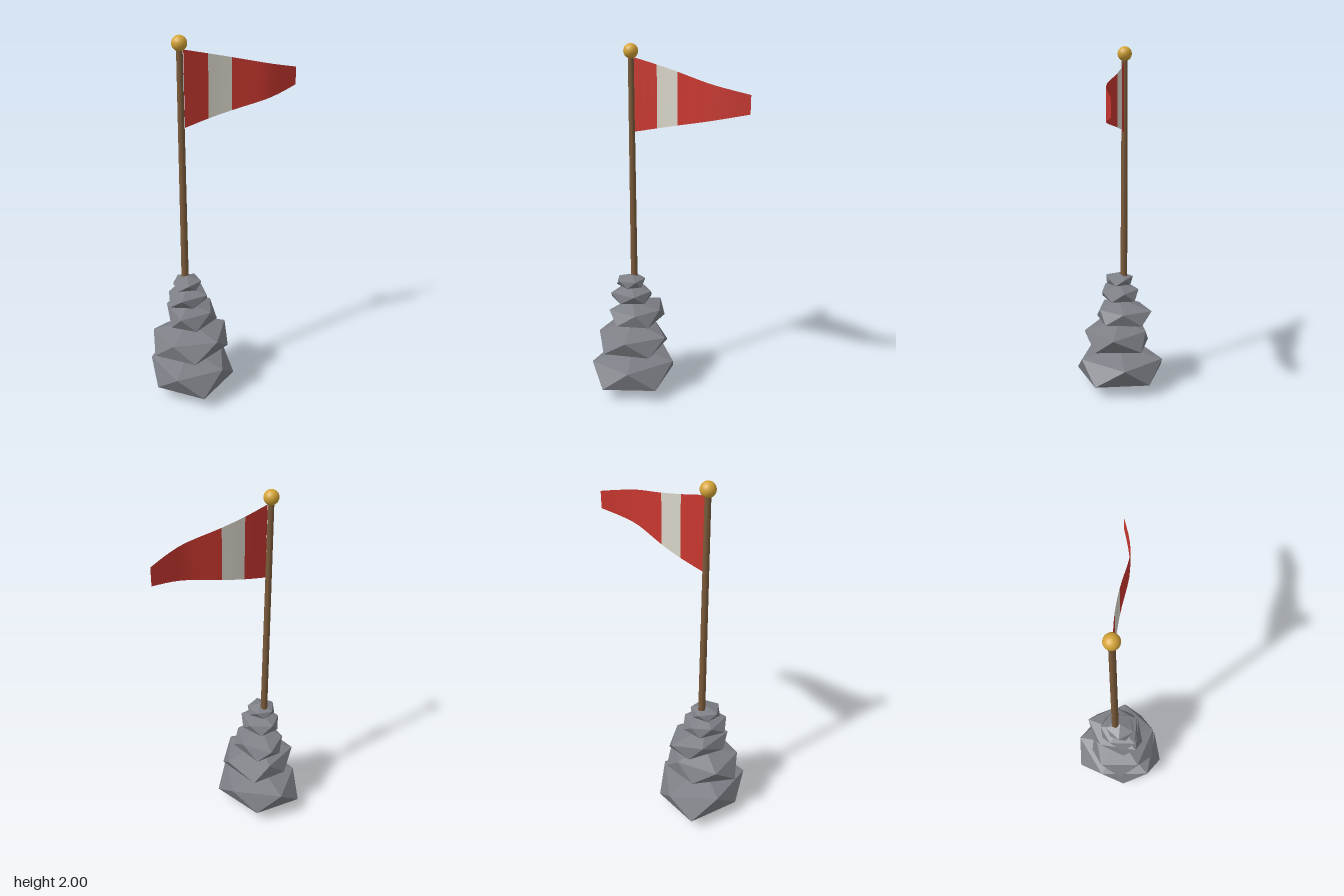
import * as THREE from 'three';

const POLE_X = -0.24, POLE_Z = -0.028;

// Faceted stone: a pole, an upper and a lower ring of five [x, z] corners, a pole
function stone([bottom, lowY, highY, top], upper, lower) {
  const U = upper.map(([x, z]) => [x, highY, z]);
  const L = lower.map(([x, z]) => [x, lowY, z]);
  const apex = [POLE_X, top, 0], nadir = [POLE_X, bottom, 0];
  const pos = [];
  for (let i = 0; i < 5; i++) {
    const j = (i + 1) % 5;
    pos.push(...apex, ...U[j], ...U[i]);
    pos.push(...U[i], ...U[j], ...L[i]);
    pos.push(...L[i], ...U[j], ...L[j]);
    pos.push(...nadir, ...L[i], ...L[j]);
  }
  const g = new THREE.BufferGeometry();
  g.setAttribute('position', new THREE.Float32BufferAttribute(pos, 3));
  g.computeVertexNormals();
  return g;
}

// Tapering, waving strip of the pennant between two fractions of its length
const wave = new THREE.CatmullRomCurve3(
  [[0, -0.027], [0.2, -0.033], [0.4, -0.025], [0.7, 0.002], [0.85, -0.015], [1, -0.046]]
    .map(([t, z]) => new THREE.Vector3(t, 0, z)));

function waveZ(t) {
  let lo = 0, hi = 1;
  for (let i = 0; i < 20; i++) {
    const mid = (lo + hi) / 2;
    if (wave.getPoint(mid).x < t) lo = mid; else hi = mid;
  }
  return wave.getPoint(lo).z;
}

function pennantStrip(t0, t1, segments) {
  const g = new THREE.PlaneGeometry(1, 1, segments, 1);
  const p = g.attributes.position;
  for (let i = 0; i < p.count; i++) {
    const t = t0 + (p.getX(i) + 0.5) * (t1 - t0);
    const height = THREE.MathUtils.lerp(0.39, 0.095, t);
    p.setXYZ(i, -0.22 + 0.67 * t, 1.734 + p.getY(i) * height, waveZ(t));
  }
  g.computeVertexNormals();
  return g;
}

export function createModel() {
  const model = new THREE.Group();
  const material = (name, color, extra = {}) => {
    const m = new THREE.MeshStandardMaterial({ color, ...extra });
    m.name = name;
    return m;
  };
  const rock = material('grey stone', 0x7d7f86, { flatShading: true });
  const wood = material('brown wood', 0x7a5a3a);
  const gold = material('gold', 0xd4a437);
  const red = material('red cloth', 0xc8372f, { side: THREE.DoubleSide });
  const white = material('off-white cloth', 0xd8d4c8, { side: THREE.DoubleSide });

  const add = (name, geometry, mat, x = 0, y = 0, z = 0) => {
    const mesh = new THREE.Mesh(geometry, mat);
    mesh.name = name;
    mesh.position.set(x, y, z);
    model.add(mesh);
  };

  // Cairn, bottom to top: [bottom, lower ring, upper ring, top] heights, then both rings
  const stones = [
    [[0, 0.08, 0.195, 0.25],
      [[0, -0.065], [-0.135, 0.21], [-0.4, 0.185], [-0.43, -0.1], [-0.21, -0.263]],
      [[-0.01, 0.11], [-0.275, 0.26], [-0.455, 0.04], [-0.36, -0.245], [-0.08, -0.2]]],
    [[0.235, 0.28, 0.373, 0.425],
      [[-0.012, 0.005], [-0.16, 0.195], [-0.39, 0.12], [-0.41, -0.1], [-0.19, -0.165]],
      [[-0.05, 0.115], [-0.3, 0.207], [-0.455, 0.02], [-0.3, -0.17], [-0.09, -0.15]]],
    [[0.41, 0.437, 0.51, 0.55],
      [[-0.08, -0.045], [-0.15, 0.1], [-0.33, 0.1], [-0.32, -0.11], [-0.17, -0.2]],
      [[-0.09, 0.06], [-0.255, 0.135], [-0.355, 0.03], [-0.265, -0.16], [-0.11, -0.15]]],
    [[0.53, 0.565, 0.618, 0.65],
      [[-0.135, -0.045], [-0.165, 0.09], [-0.32, 0.093], [-0.33, -0.05], [-0.24, -0.115]],
      [[-0.135, 0.03], [-0.25, 0.1], [-0.36, 0.03], [-0.29, -0.1], [-0.17, -0.1]]],
    [[0.635, 0.655, 0.692, 0.715],
      [[-0.175, -0.045], [-0.18, 0.05], [-0.27, 0.08], [-0.325, 0], [-0.26, -0.08]],
      [[-0.165, 0.01], [-0.22, 0.07], [-0.315, 0.04], [-0.3, -0.05], [-0.21, -0.07]]],
  ];
  stones.forEach(([heights, upper, lower], i) =>
    add(`cairnStone${i + 1}`, stone(heights, upper, lower), rock));

  // Tapered pole with a ball on top
  add('pole', new THREE.CylinderGeometry(0.016, 0.02, 1.27, 10), wood, POLE_X, 1.315, POLE_Z);
  add('finial', new THREE.SphereGeometry(0.039, 20, 14), gold, POLE_X, 1.961, POLE_Z);

  // Pennant with one pale stripe
  add('pennantBase', pennantStrip(0, 0.205, 3), red);
  add('pennantStripe', pennantStrip(0.205, 0.4, 3), white);
  add('pennantTip', pennantStrip(0.4, 1, 9), red);

  return model;
}
